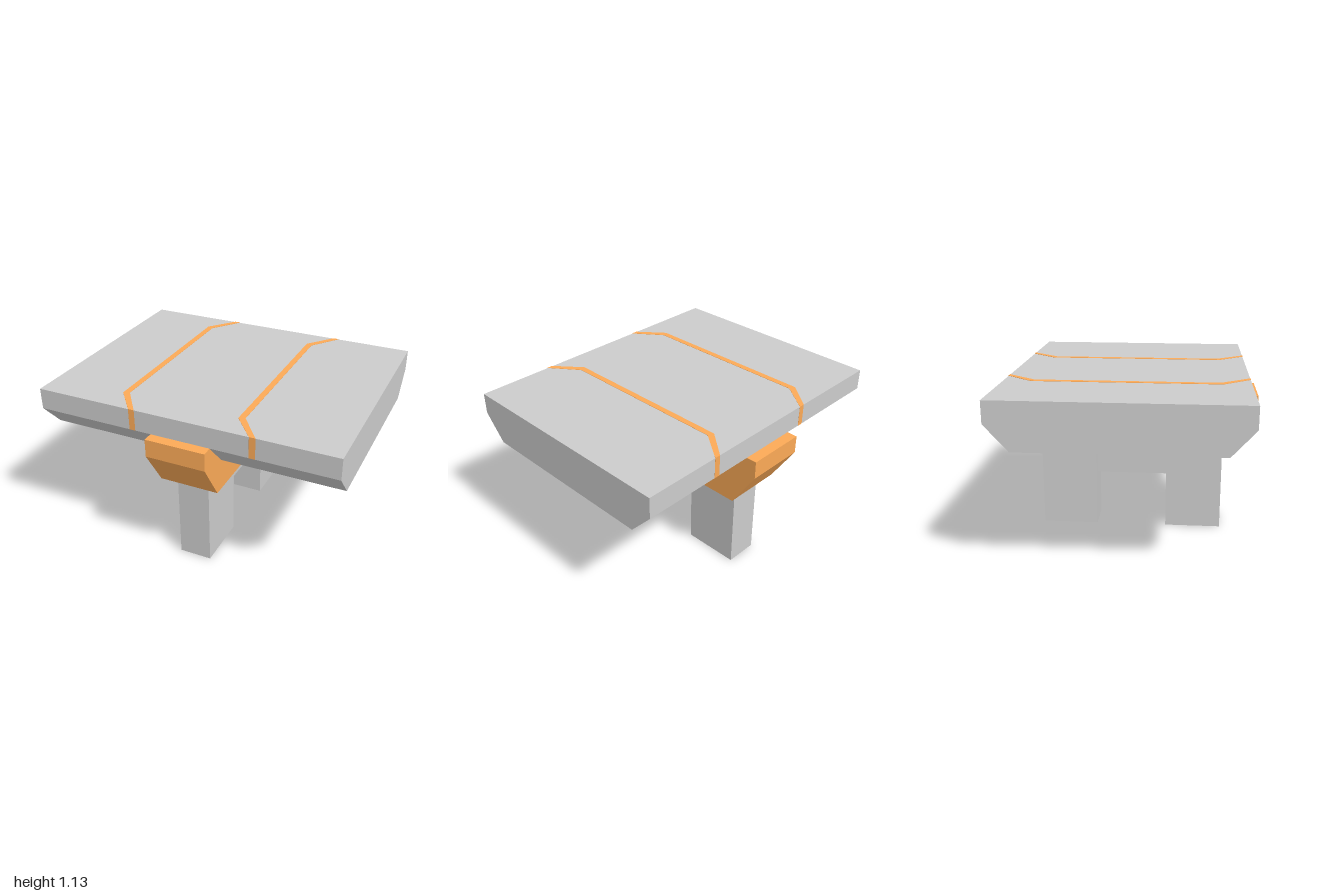
import * as THREE from 'three';

const grey = new THREE.MeshStandardMaterial({ color: 0xcccccc, flatShading: true });
const orange = new THREE.MeshStandardMaterial({ color: 0xfcaa57, flatShading: true });

function extrude(points, depth) {
  const shape = new THREE.Shape(points.map(([a, b]) => new THREE.Vector2(a, b)));
  return new THREE.ExtrudeGeometry(shape, { depth, bevelEnabled: false });
}

// Side profile: half outline as [z, y], mirrored in z and extruded across x
function crossPart(half, width) {
  const points = [...half, ...half.map(([z, y]) => [-z, y]).reverse()];
  return extrude(points, width).translate(0, 0, -width / 2).rotateY(Math.PI / 2);
}

export function createModel() {
  const group = new THREE.Group();
  const add = (name, geometry, material) => {
    const mesh = new THREE.Mesh(geometry, material);
    mesh.name = name;
    group.add(mesh);
    return mesh;
  };

  // Wide deck with chamfered underside
  add('deck', crossPart([[0.63, 0.82], [0.78, 0.985], [0.78, 1.125]], 2), grey);

  // Cradle beam whose ends turn up around the deck
  add('cradle', crossPart(
    [[0.685, 0.605], [0.85, 0.865], [0.85, 0.985], [0.78, 0.985], [0.63, 0.82]], 0.4), orange);

  // Bent inlay stripes, barely proud of the deck top and ends
  const edge = [[0.305, 0.782], [0.305, 0.6], [0.305, -0.6], [0.305, -0.782]];
  const bent = (shift, kink) => edge.map(([x, z]) =>
    [x + shift + (Math.abs(z) > 0.7 ? 0.145 : 0), Math.sign(z) * (Math.abs(z) > 0.7 ? 0.782 : kink)]);
  for (const [name, offset] of [['leftStripe', 0], ['rightStripe', -0.795]]) {
    const outline = [...bent(0, 0.605), ...bent(0.04, 0.59).reverse()];
    const stripe = add(name, extrude(outline, 0.141).rotateX(-Math.PI / 2), orange);
    stripe.position.set(offset, 0.986, 0);
  }

  // Two legs joined by a narrower brace
  for (const [name, s] of [['frontLeg', 1], ['backLeg', -1]]) {
    add(name, new THREE.BoxGeometry(0.22, 0.605, 0.385), grey).position.set(0, 0.3025, s * 0.4375);
  }
  add('brace', new THREE.BoxGeometry(0.15, 0.225, 0.49), grey).position.set(0, 0.4925, 0);

  return group;
}
